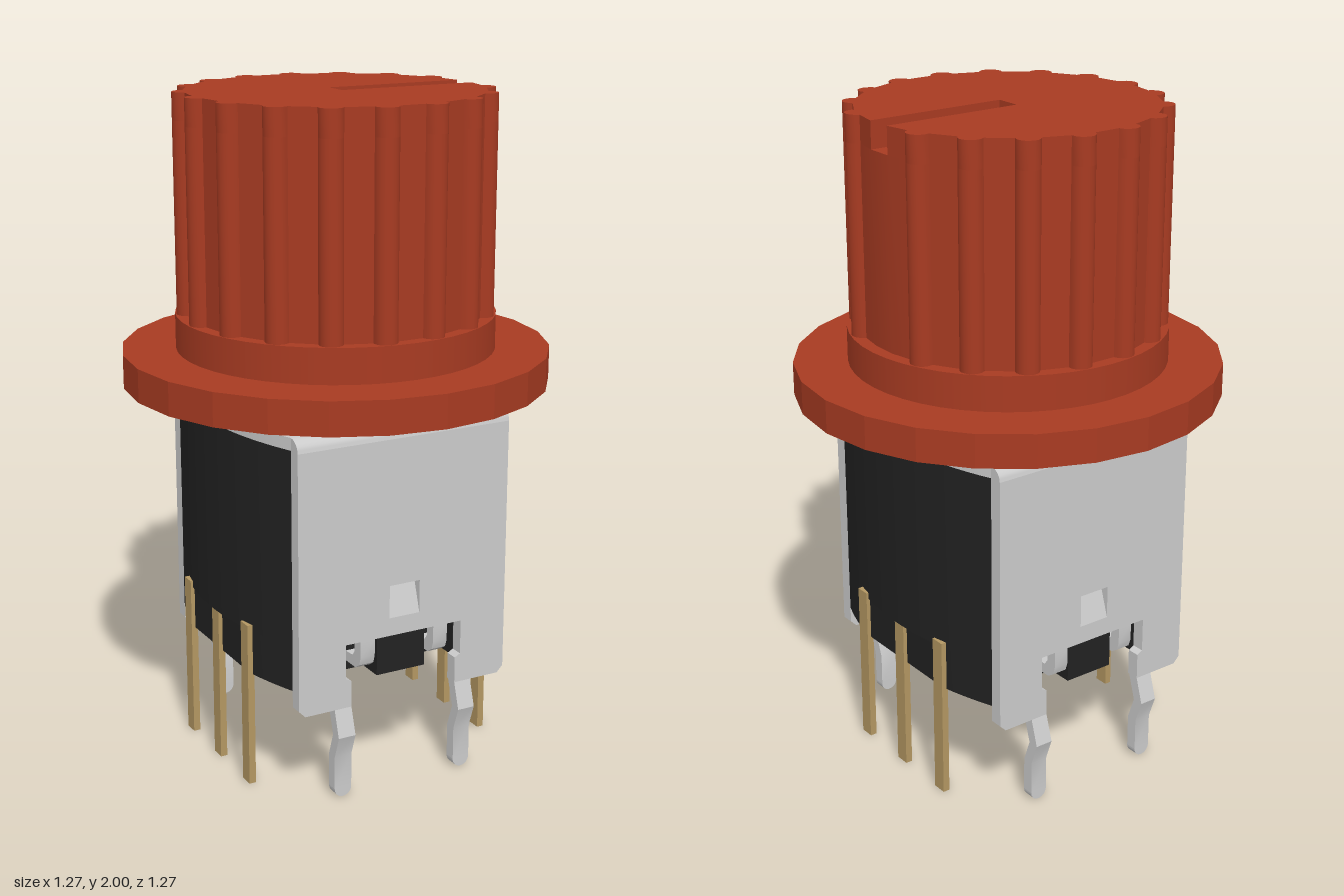
import * as THREE from 'three';
import { toCreasedNormals } from 'three/addons/utils/BufferGeometryUtils.js';

const mat = (name, color) => {
  const m = new THREE.MeshStandardMaterial({ color });
  m.name = name;
  return m;
};

const toShape = (pts) => new THREE.Shape(pts.map(([a, b]) => new THREE.Vector2(a, b)));

// Extrude along z from z0, smoothing only shallow edges
const extrude = (shape, depth, z0 = 0) => toCreasedNormals(
  new THREE.ExtrudeGeometry(shape, { depth, bevelEnabled: false, curveSegments: 10 }).translate(0, 0, z0), 0.6);

// Extrude a plan outline (x, z) upward from y0 to y1
const slab = (pts, y0, y1) => extrude(toShape(pts), y1 - y0).rotateX(-Math.PI / 2).translate(0, y0, 0);

// Extrude a side profile (z, y) across the width, centred on x
const across = (pts, width, x = 0) =>
  extrude(toShape(pts), width).rotateY(-Math.PI / 2).translate(x + width / 2, 0, 0);

// Bowed right-hand edge of the housing, from back to front
const bowedEdge = (maxX = 1) => {
  const pts = [];
  for (let i = 0; i <= 24; i++) {
    const z = -0.38 + (0.76 * i) / 24;
    pts.push([Math.min(maxX, 0.42 - 0.075 * (z / 0.38) ** 2), z]);
  }
  return pts;
};

// Complete an outline by turning its half about the centre
const turned = (half) => [...half, ...half.map(([x, z]) => [-x, -z])];

// Ribbed knob outline, with an optional pointer slot toward +x
function knobOutline(slot) {
  const pts = [], r = 0.435, rib = 0.035;
  for (let k = 0; k < 18; k++) {
    const a = (k * Math.PI) / 9;
    if (k === 0) {
      if (slot) pts.push([r, -0.04], [0, -0.04], [0, 0.04], [r, 0.04]);
      else pts.push([r, -0.04], [r, 0.04]);
      continue;
    }
    for (let i = 0; i <= 8; i++) {
      const b = a - Math.PI / 2 + (i * Math.PI) / 8;
      pts.push([r * Math.cos(a) + rib * Math.cos(b), r * Math.sin(a) + rib * Math.sin(b)]);
    }
  }
  return pts;
}

export function createModel() {
  const model = new THREE.Group();
  model.name = 'rotarySwitch';
  const red = mat('red plastic', 0xa83b22);
  const steel = mat('light steel', 0xcbcbcb);
  const black = mat('black plastic', 0x222222);
  const brass = mat('brass', 0xb39762);

  const add = (parent, name, geometry, material) => {
    const m = new THREE.Mesh(geometry, material);
    m.name = name;
    parent.add(m);
    return m;
  };
  const disc = (r, y0, y1, sides) =>
    new THREE.CylinderGeometry(r, r, y1 - y0, sides).translate(0, (y0 + y1) / 2, 0);

  // Knob
  const knob = new THREE.Group();
  knob.name = 'knob';
  model.add(knob);
  add(knob, 'neck', disc(0.352, 1.09, 1.15, 48), red);
  add(knob, 'flange', toCreasedNormals(disc(0.635, 1.15, 1.25, 24), 0.2), red);
  add(knob, 'collar', disc(0.474, 1.25, 1.355, 48), red);
  add(knob, 'grip', slab(knobOutline(false), 1.355, 1.92), red);
  add(knob, 'slottedTop', slab(knobOutline(true), 1.92, 2), red);

  // Housing: bowed upper block, lower block with hook notches and pin flats
  const housing = new THREE.Group();
  housing.name = 'housing';
  model.add(housing);
  add(housing, 'upperHousing', slab(turned(bowedEdge()), 0.485, 1.07), black);
  const notches = [
    [0.19, 0.38], [0.19, 0.32], [0.08, 0.32], [0.08, 0.4],
    [-0.08, 0.4], [-0.08, 0.32], [-0.19, 0.32], [-0.19, 0.38],
  ];
  add(housing, 'lowerHousing', slab(turned([...bowedEdge(0.398), ...notches]), 0.35, 0.485), black);

  // Metal bracket top
  add(model, 'bracketTop', slab(turned(bowedEdge()), 1.07, 1.107), steel);

  // Bracket sides, front and back
  for (const [side, turn] of [['front', 0], ['back', Math.PI]]) {
    const bracket = new THREE.Group();
    bracket.name = side + 'Bracket';
    bracket.rotation.y = turn;
    model.add(bracket);

    // Sheet with bottom cutout and lance window
    const sheet = toShape([
      [-0.345, 1.07], [-0.345, 0.3], [-0.325, 0.28], [-0.175, 0.28], [-0.175, 0.36], [-0.193, 0.37], [-0.193, 0.475],
      [0.193, 0.475], [0.193, 0.37], [0.175, 0.36], [0.175, 0.28], [0.325, 0.28], [0.345, 0.3], [0.345, 1.07],
    ]);
    sheet.holes.push(new THREE.Path(
      [[-0.05, 0.53], [-0.05, 0.63], [0.05, 0.63], [0.05, 0.53]].map(([x, y]) => new THREE.Vector2(x, y))));
    add(bracket, 'sheet', extrude(sheet, 0.04, 0.38), steel);
    add(bracket, 'lance', across([[0.381, 0.53], [0.42, 0.53], [0.387, 0.63], [0.381, 0.63]], 0.1), steel);

    // Rounded bend into the top
    const bend = [[0.38, 1.07]];
    for (let i = 0; i <= 6; i++) {
      const a = (i * Math.PI) / 12;
      bend.push([0.38 + 0.04 * Math.cos(a), 1.07 + 0.037 * Math.sin(a)]);
    }
    add(bracket, 'bend', across(bend, 0.69), steel);

    // Kinked legs with round tips, and curled hooks
    const tip = new THREE.Shape();
    tip.absarc(0, 0.0275, 0.0275, Math.PI, 2 * Math.PI, false);
    for (const s of [-1, 1]) {
      add(bracket, 'leg', across([
        [0.385, 0.0275], [0.42, 0.0275], [0.42, 0.13], [0.445, 0.2], [0.42, 0.28],
        [0.385, 0.28], [0.41, 0.2], [0.385, 0.13],
      ], 0.055, s * 0.2025), steel);
      add(bracket, 'legTip', extrude(tip, 0.035, 0.385).translate(s * 0.2025, 0, 0), steel);
      add(bracket, 'hook', across([
        [0.42, 0.475], [0.385, 0.475], [0.385, 0.435], [0.372, 0.418], [0.33, 0.415],
        [0.33, 0.385], [0.39, 0.385], [0.412, 0.4], [0.42, 0.425],
      ], 0.047, s * 0.122), steel);
    }
  }

  // Contact pins, three on each side
  for (const s of [-1, 1]) {
    for (const z of [-0.2, 0, 0.2]) {
      const h = z ? 0.505 : 0.485;
      add(model, 'pin', new THREE.BoxGeometry(0.021, h, 0.045).translate(s * 0.4, h / 2, z), brass);
    }
  }
  return model;
}
